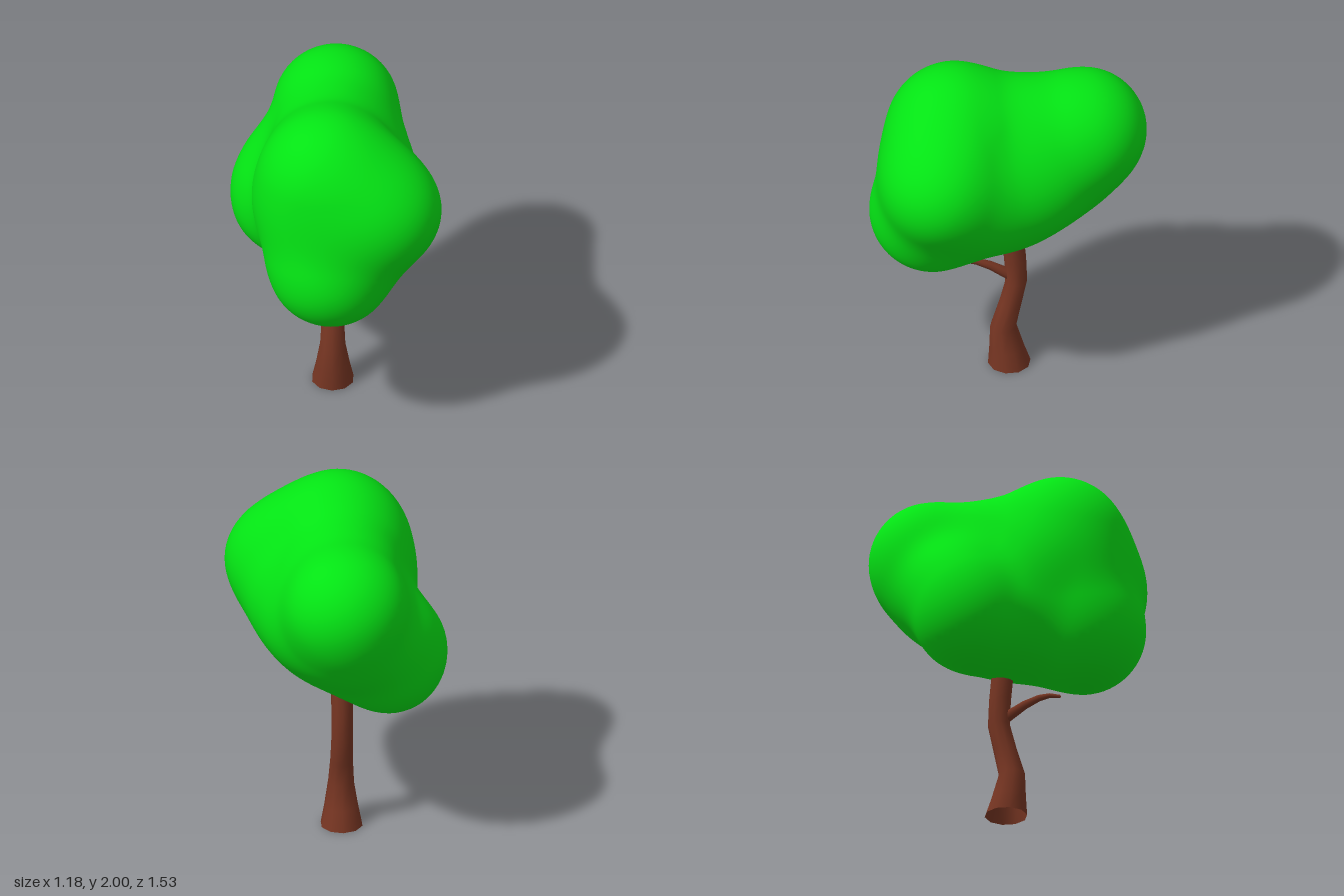
import * as THREE from 'three';
import { mergeVertices } from 'three/addons/utils/BufferGeometryUtils.js';

const leafMat = new THREE.MeshStandardMaterial({ color: 0x04e414 });
const barkMat = new THREE.MeshStandardMaterial({ color: 0x763522, side: THREE.DoubleSide });

// Drop seams so that normals come out smooth all round.
function smooth(geo) {
  geo.deleteAttribute('uv');
  geo.deleteAttribute('normal');
  const merged = mergeVertices(geo, 1e-5);
  merged.computeVertexNormals();
  return merged;
}

// Tapered open limb in the YZ plane; sections run from base to tip as [y, z, radius, tilt].
function limb(name, x, sections, sides) {
  const rows = sections.length;
  const geo = new THREE.CylinderGeometry(1, 1, 1, sides, rows - 1, true);
  const pos = geo.attributes.position;
  for (let i = 0; i < pos.count; i++) {
    const [y, z, r, tilt] = sections[rows - 1 - Math.floor(i / (sides + 1))];
    const c = pos.getZ(i) * r;
    pos.setXYZ(i, x + pos.getX(i) * r, y - c * Math.sin(tilt), z + c * Math.cos(tilt));
  }
  const mesh = new THREE.Mesh(smooth(geo), barkMat);
  mesh.name = name;
  return mesh;
}

// Rounded lobes of the foliage: [x, y, z, radius].
const lobes = [
  [-0.02, 1.095, 0.42, 0.35],   // low front
  [-0.27, 1.11, -0.165, 0.315], // low right-hand side
  [-0.03, 1.15, 0.05, 0.265],   // core
  [-0.03, 1.64, 0.30, 0.355],   // crown
  [-0.07, 1.43, 0.26, 0.345],   // below the crown
  [0.27, 1.45, 0.40, 0.315],    // left-hand side
  [-0.02, 1.55, -0.42, 0.345],  // back
  [-0.02, 1.57, -0.08, 0.25],   // ridge from crown to back
  [0.10, 1.32, -0.11, 0.285],   // fill between left, back and trunk
  [0.13, 1.30, 0.17, 0.26],     // fill under the left-hand side
  [-0.08, 1.32, -0.38, 0.18],   // fill below the back
  [-0.32, 1.29, -0.22, 0.155],  // fill above the right-hand side
];

// Distance to the lobes, blended softly where they meet.
function foliageDistance(p) {
  const k = 0.25;
  let d = Infinity;
  for (const [x, y, z, r] of lobes) {
    const e = Math.hypot(p.x - x, p.y - y, p.z - z) - r;
    const h = d === Infinity ? 0 : Math.max(k - Math.abs(d - e), 0) / k;
    d = Math.min(d, e) - h * h * k / 4;
  }
  return d;
}

// Shrink a fine ball along its rays until it rests on the blended lobes.
function makeFoliage() {
  const centre = new THREE.Vector3(-0.02, 1.35, 0.05);
  const geo = smooth(new THREE.IcosahedronGeometry(1, 24));
  const pos = geo.attributes.position;
  const dir = new THREE.Vector3(), p = new THREE.Vector3();
  for (let i = 0; i < pos.count; i++) {
    dir.fromBufferAttribute(pos, i).normalize();
    let t = 1.4;
    for (let step = 0; step < 80; step++) {
      p.copy(centre).addScaledVector(dir, t);
      const d = foliageDistance(p);
      if (Math.abs(d) < 1e-4) break;
      t -= d * 0.9;
    }
    pos.setXYZ(i, p.x, p.y, p.z);
  }
  geo.computeVertexNormals();
  const mesh = new THREE.Mesh(geo, leafMat);
  mesh.name = 'foliage';
  return mesh;
}

export function createModel() {
  const tree = new THREE.Group();
  tree.name = 'tree';

  // Trunk, flared at the foot and leaning back before it straightens
  const trunkX = -0.025;
  tree.add(limb('trunk', trunkX, [
    [0, -0.005, 0.118, 0],
    [0.11, 0.010, 0.096, 0],
    [0.25, 0.028, 0.073, 0],
    [0.40, -0.010, 0.064, -0.15],
    [0.55, -0.044, 0.061, -0.05],
    [0.70, -0.038, 0.061, 0.08],
    [0.84, -0.025, 0.061, 0.08],
    [0.90, -0.02, 0.060, 0.08],
  ], 10));

  // Small side branch reaching forward and drooping at its tip
  tree.add(limb('branch', trunkX - 0.003, [
    [0.57, -0.04, 0.034, 0.75],
    [0.605, 0.01, 0.032, 0.8],
    [0.665, 0.10, 0.025, 1.1],
    [0.702, 0.18, 0.019, 1.35],
    [0.713, 0.24, 0.014, 1.7],
    [0.704, 0.295, 0.010, 1.85],
    [0.70, 0.302, 0.0, 1.85],
  ], 8));

  tree.add(makeFoliage());
  return tree;
}
